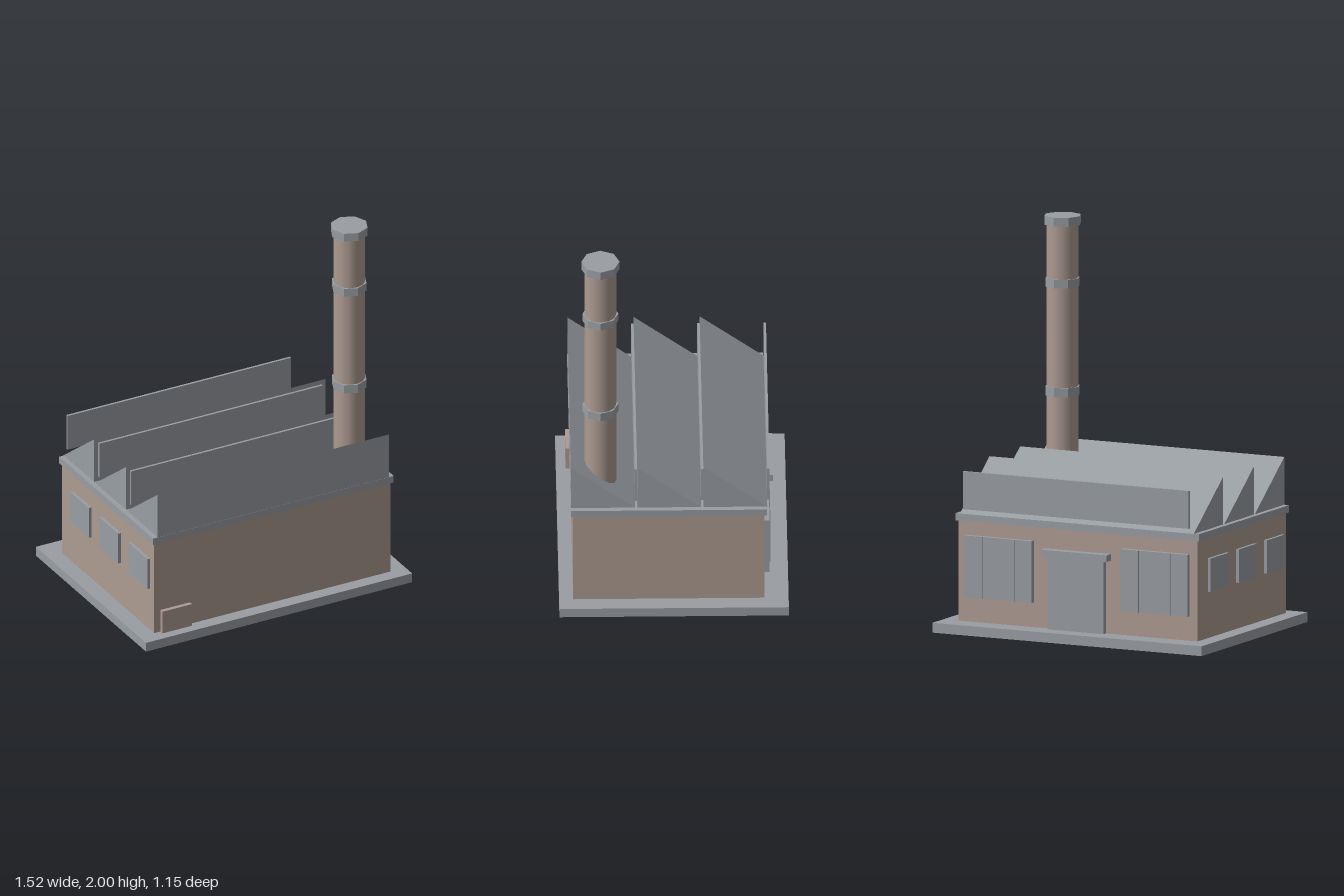
import * as THREE from 'three';

export function createModel() {
  const model = new THREE.Group();
  model.name = 'factory';

  const grey = new THREE.MeshStandardMaterial({ color: 0x999ea3 });
  grey.name = 'grey metal';
  const brick = new THREE.MeshStandardMaterial({ color: 0xad9b91 });
  brick.name = 'brown brick';

  function add(name, geometry, material) {
    const mesh = new THREE.Mesh(geometry, material);
    mesh.name = name;
    model.add(mesh);
    return mesh;
  }

  // Box given by its limits on each axis
  function box(name, material, [x0, x1], [y0, y1], [z0, z1]) {
    const mesh = add(name, new THREE.BoxGeometry(x1 - x0, y1 - y0, z1 - z0), material);
    mesh.position.set((x0 + x1) / 2, (y0 + y1) / 2, (z0 + z1) / 2);
  }

  // Main block
  box('baseSlab', grey, [-0.76, 0.76], [0, 0.05], [-0.575, 0.575]);
  box('walls', brick, [-0.675, 0.675], [0.05, 0.56], [-0.455, 0.505]);
  box('cornice', grey, [-0.687, 0.687], [0.56, 0.597], [-0.465, 0.516]);
  box('frontCrate', brick, [-0.64, -0.47], [0.05, 0.173], [0.5, 0.527]);

  // Sawtooth roof: upright face to the front, slope down to the back
  const tooth = new THREE.Shape();
  tooth.moveTo(0, 0);
  tooth.lineTo(0, 0.243);
  tooth.lineTo(-0.32, 0);
  tooth.closePath();
  const toothGeometry = new THREE.ExtrudeGeometry(tooth, { depth: 1.32, bevelEnabled: false });
  toothGeometry.translate(0, 0, -0.66).rotateY(-Math.PI / 2);
  for (let i = 0; i < 3; i++) {
    const front = 0.515 - i * 0.3315;
    add('roofTooth', toothGeometry, grey).position.set(0, 0.597, front);
    // Upright glazing panel behind each slope
    box('roofGlazing', grey, [-0.638, 0.638], [0.623, 0.815], [front - 0.332, front - 0.319]);
  }

  // Chimney with two bands and a cap
  function ring(name, radius, y0, y1, sides, material) {
    let geometry = new THREE.CylinderGeometry(radius, radius, y1 - y0, sides);
    add(name, geometry, material).position.set(0.515, (y0 + y1) / 2, 0.366);
  }
  ring('chimneyShaft', 0.08, 0.56, 1.97, 12, brick);
  ring('chimneyBand', 0.09, 1.087, 1.133, 8, grey);
  ring('chimneyBand', 0.09, 1.64, 1.683, 8, grey);
  ring('chimneyCap', 0.096, 1.955, 2, 8, grey);
  model.traverse((part) => {
    // Flat facets on the octagonal rings
    if (part.name === 'chimneyBand' || part.name === 'chimneyCap') {
      part.geometry = part.geometry.toNonIndexed();
      part.geometry.computeVertexNormals();
    }
  });

  // Back door with canopy
  box('backDoor', grey, [-0.158, 0.158], [0.05, 0.425], [-0.482, -0.45]);
  box('doorCanopy', grey, [-0.185, 0.185], [0.422, 0.456], [-0.503, -0.45]);

  // Large back windows with two mullions each
  for (const side of [-1, 1]) {
    const x = side * 0.44;
    box('backWindow', grey, [x - 0.19, x + 0.19], [0.175, 0.49], [-0.48, -0.45]);
    for (const offset of [-0.091, 0.091]) {
      box('windowMullion', grey, [x + offset - 0.007, x + offset + 0.007], [0.175, 0.49], [-0.487, -0.45]);
    }
  }

  // Small windows on the right wall
  for (const z of [-0.246, 0.06, 0.366]) {
    box('sideWindow', grey, [-0.691, -0.67], [0.286, 0.456], [z - 0.098, z + 0.098]);
  }

  return model;
}
